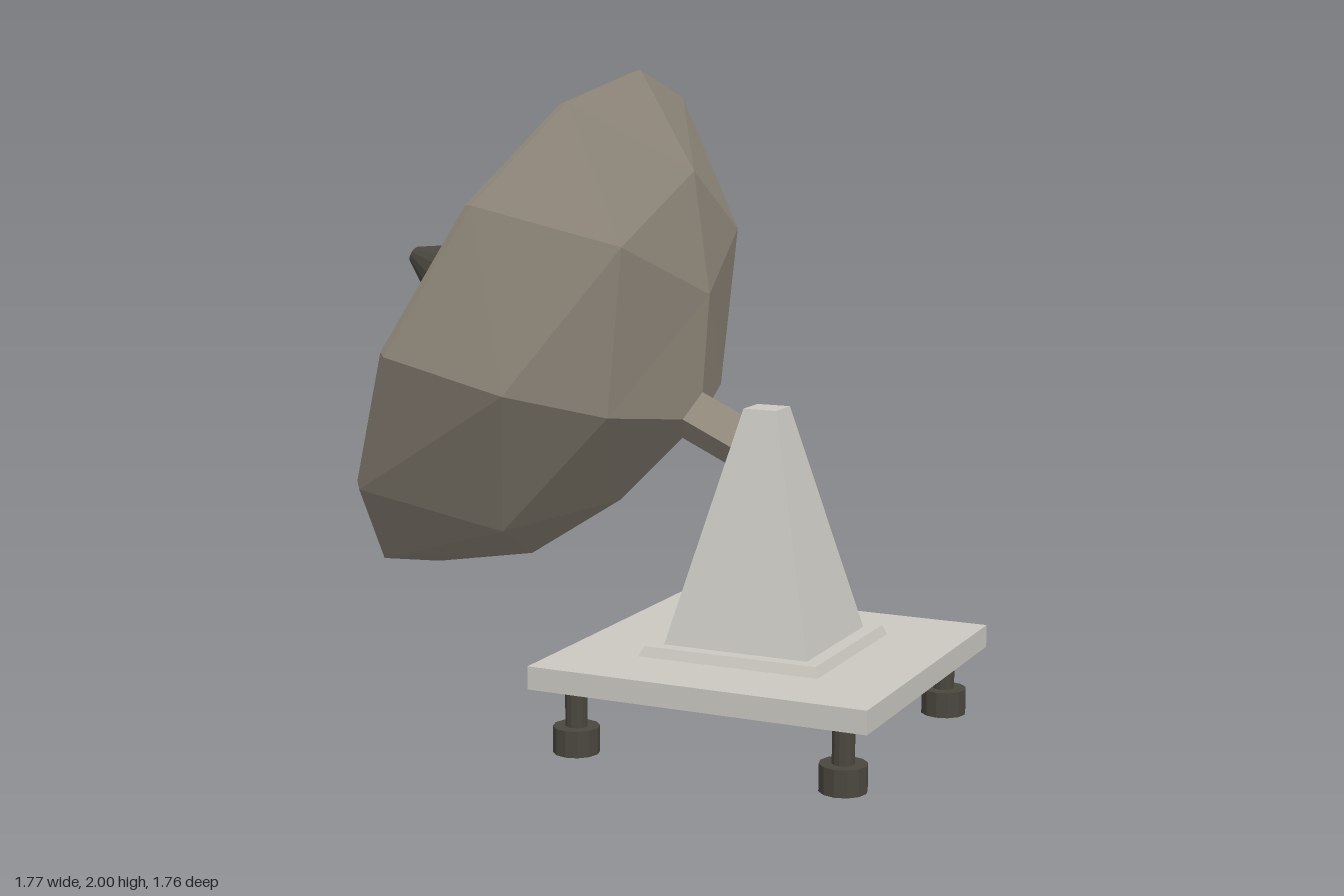
import * as THREE from 'three';

const mat = (color) => new THREE.MeshStandardMaterial({ color, flatShading: true });

export function createModel() {
  const model = new THREE.Group();
  const light = mat(0xcbc8c1), brown = mat(0x8f877a), dark = mat(0x4a473f);

  const add = (parent, name, geometry, material, x = 0, y = 0, z = 0) => {
    const mesh = new THREE.Mesh(geometry, material);
    mesh.name = name;
    mesh.position.set(x, y, z);
    parent.add(mesh);
    return mesh;
  };
  // Square frustum from bottom and top half widths
  const frustum = (bottom, top, h) =>
    new THREE.CylinderGeometry(top * Math.SQRT2, bottom * Math.SQRT2, h, 4).rotateY(Math.PI / 4);

  // Base plate, plinth and tapered pedestal
  add(model, 'basePlate', new THREE.BoxGeometry(1.06, 0.07, 1.06), light, 0.35, 0.235);
  add(model, 'plinth', frustum(0.287, 0.275, 0.03), light, 0.35, 0.285);
  add(model, 'pedestal', frustum(0.23, 0.053, 0.7), light, 0.35, 0.65);

  // Four feet with thin stems
  for (const x of [-0.07, 0.775]) for (const z of [-0.433, 0.433]) {
    const leg = new THREE.Group();
    leg.name = 'leg';
    leg.position.set(x, 0, z);
    add(leg, 'foot', new THREE.CylinderGeometry(0.07, 0.07, 0.08, 12), dark, 0, 0.04);
    add(leg, 'stem', new THREE.CylinderGeometry(0.033, 0.033, 0.13, 12), dark, 0, 0.14);
    model.add(leg);
  }

  // Dish assembly: local +x is the depth axis, pointing to the back
  const head = new THREE.Group();
  head.name = 'dishAssembly';
  head.position.set(-0.435, 1.21, 0);
  head.rotation.z = -0.433;
  model.add(head);
  add(head, 'dish', dishGeometry(), brown);

  // Diamond-section arm into the pedestal
  add(head, 'mountArm', new THREE.CylinderGeometry(0.08, 0.08, 0.3, 4).rotateZ(Math.PI / 2), brown, 0.73);

  // Feed cone and its disc
  add(head, 'feedDisc', new THREE.CylinderGeometry(0.168, 0.168, 0.035, 16).rotateZ(Math.PI / 2), dark, -0.288);
  add(head, 'feedCone', new THREE.CylinderGeometry(0.027, 0.132, 0.185, 16).rotateZ(Math.PI / 2), dark, -0.393);

  // Four struts from the disc to the dish
  for (const sy of [-1, 1]) for (const sz of [-1, 1]) {
    const a = new THREE.Vector3(-0.285, 0.105 * sy, 0.11 * sz);
    const b = new THREE.Vector3(0.31, 0.465 * sy, 0.41 * sz);
    const strut = add(head, 'strut', new THREE.BoxGeometry(0.034, 0.034, a.distanceTo(b)), light);
    strut.position.copy(a).add(b).multiplyScalar(0.5);
    strut.quaternion.setFromUnitVectors(new THREE.Vector3(0, 0, 1), b.clone().sub(a).normalize());
  }
  return model;
}

// Faceted bowl: one quadrant of rings [depth, height, side], mirrored four ways
function dishGeometry() {
  const rings = [
    [[0.625, 0, 0]],
    [[0.49, 0.36, 0], [0.5, 0, 0.4]],
    [[0.288, 0.672, 0], [0.338, 0.475, 0.41], [0.29, 0, 0.68]],
    [[0, 0.87, 0], [0, 0.77, 0.39], [0, 0.46, 0.72], [0, 0, 0.88]],
  ];
  const inner = ([d, y, z]) => [d * 0.98 - 0.025, y * 0.975, z * 0.975];
  const out = [];
  for (const sy of [1, -1]) for (const sz of [1, -1]) {
    const tri = (a, b, c) => {
      const order = sy * sz > 0 ? [a, b, c] : [a, c, b];
      for (const [d, y, z] of order) out.push(d, y * sy, z * sz);
    };
    const shell = (a, b, c) => {
      tri(a, b, c);
      tri(inner(a), inner(c), inner(b));
    };
    for (let k = 0; k < 3; k++) {
      const p = rings[k], q = rings[k + 1];
      for (let j = 0; j <= k; j++) {
        shell(p[j], q[j], q[j + 1]);
        if (j < k) shell(p[j], q[j + 1], p[j + 1]);
      }
    }
    // Rim band joining outer and inner shells
    const rim = rings[3];
    for (let j = 0; j < 3; j++) {
      const a = rim[j], b = rim[j + 1];
      tri(a, inner(a), inner(b));
      tri(a, inner(b), b);
    }
  }
  const geometry = new THREE.BufferGeometry();
  geometry.setAttribute('position', new THREE.Float32BufferAttribute(out, 3));
  geometry.computeVertexNormals();
  return geometry;
}
